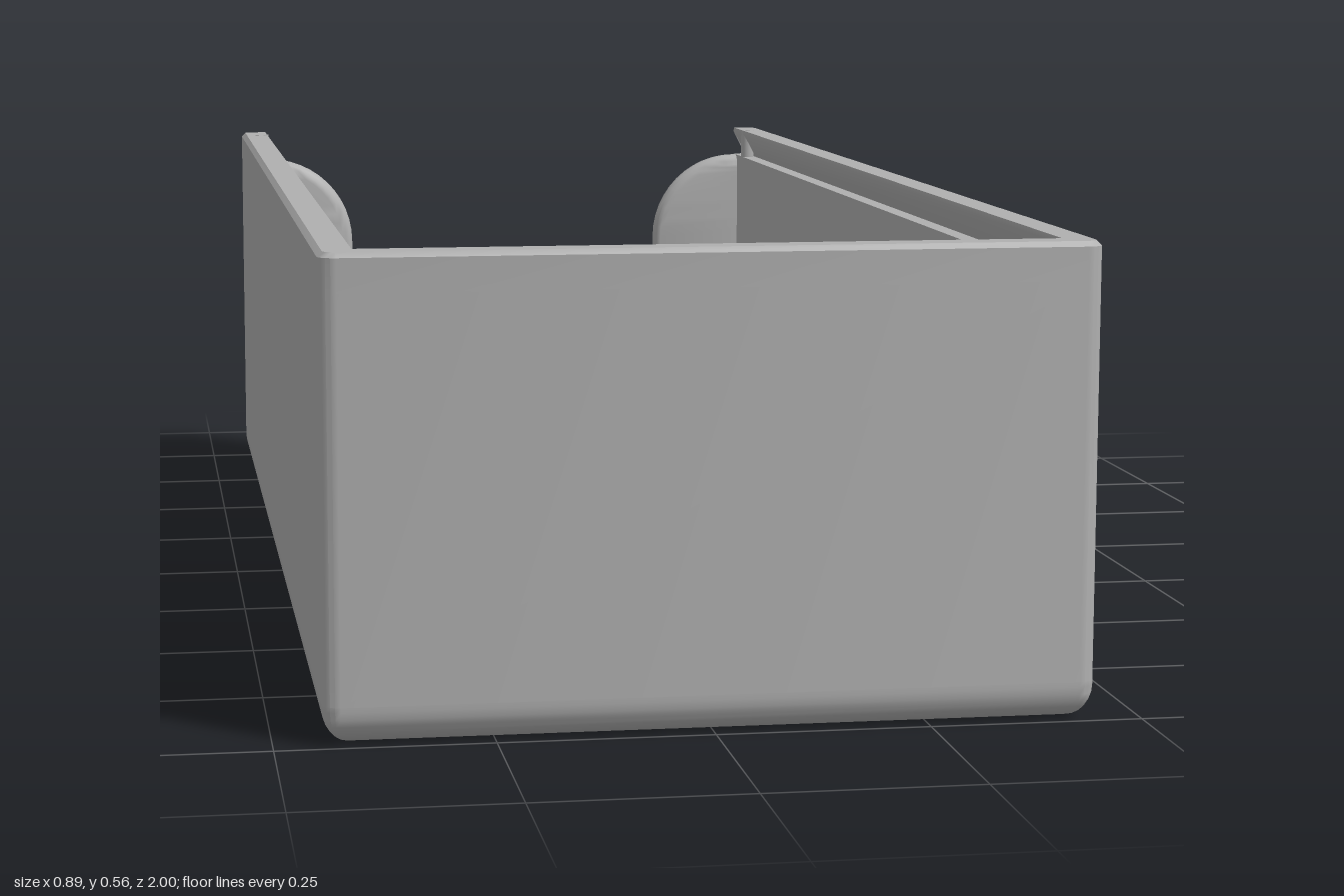
import * as THREE from 'three';
import { toCreasedNormals } from 'three/addons/utils/BufferGeometryUtils.js';

const W = 0.445, L = 1, H = 0.555;      // half width, half length, height
const WALL = 0.04, FLOOR = 0.035, SEAT = 0.046, LEDGE = 0.51, EDGE = 0.04;

// Skin a grid of points (rows of equal length), skipping collapsed triangles
function skin(rows) {
  const pos = [], ab = new THREE.Vector3(), ac = new THREE.Vector3();
  const tri = (a, b, c) => {
    ab.subVectors(b, a); ac.subVectors(c, a);
    if (ab.cross(ac).length() < 1e-9) return;
    for (const p of [a, b, c]) pos.push(p.x, p.y, p.z);
  };
  for (let i = 0; i < rows.length - 1; i++) {
    for (let j = 0; j < rows[i].length - 1; j++) {
      const a = rows[i][j], b = rows[i][j + 1], c = rows[i + 1][j + 1], d = rows[i + 1][j];
      tri(a, d, b);
      tri(b, d, c);
    }
  }
  const g = new THREE.BufferGeometry();
  g.setAttribute('position', new THREE.Float32BufferAttribute(pos, 3));
  return toCreasedNormals(g, 0.6);
}

// Rounded outline running from the back, round the front and back again
function outline(y, inset, r, endX, backInset = inset) {
  const x = W - inset, zf = L - inset, zb = -L + backInset, pts = [];
  const corner = (cx, cz, start) => {
    for (let k = 0; k <= 5; k++) {
      const a = start + (k / 5) * Math.PI / 2;
      pts.push(new THREE.Vector3(cx + r * Math.cos(a), y, cz + r * Math.sin(a)));
    }
  };
  pts.push(new THREE.Vector3(endX, y, zb));
  corner(x - r, zb + r, -Math.PI / 2);
  corner(x - r, zf - r, 0);
  corner(-x + r, zf - r, Math.PI / 2);
  corner(-x + r, zb + r, Math.PI);
  pts.push(new THREE.Vector3(-endX, y, zb));
  return pts;
}

// Bottom tray with a rounded lower edge and a recessed floor
function trayGeometry() {
  const rows = [outline(0, W, 0, 0)];
  for (let k = 0; k <= 7; k++) {
    const a = (k / 7) * Math.PI / 2, inset = EDGE * (1 - Math.sin(a));
    rows.push(outline(EDGE * (1 - Math.cos(a)), inset, Math.max(0.02 - inset, 0), 0));
  }
  rows.push(outline(SEAT, 0, 0.02, 0));
  rows.push(outline(SEAT, WALL, 0, 0), outline(FLOOR, WALL, 0, 0), outline(FLOOR, W, 0, 0));
  return skin(rows);
}

// Two sides and front, with an undercut groove for a sliding lid
function wallGeometry() {
  const inX = W - WALL, groove = 0.018;
  return skin([
    outline(SEAT, 0, 0.02, inX),
    outline(LEDGE, 0, 0.02, inX),
    outline(LEDGE, 0, 0.02, W - groove),
    outline(H - 0.006, 0, 0.02, inX),
    outline(H, 0.006, 0.014, inX),
    outline(H, WALL, 0, inX, 0.006),
    outline(H - 0.006, WALL, 0, inX, 0),
    outline(LEDGE, groove, 0, W - groove, 0),
    outline(LEDGE, WALL, 0, inX, 0),
    outline(SEAT, WALL, 0, inX, 0),
  ]);
}

// Back wall with an S-sided cutout whose edge is rounded over
function backWallGeometry() {
  const top = 0.14, low = 0.15, r = 0.0175, thick = 0.035, half = [];
  half.push([0.427, LEDGE, 0, 1]);
  for (let k = 0; k <= 12; k++) {
    const a = (k / 12) * Math.PI / 2, s = Math.sin(a), c = Math.cos(a);
    half.push([0.4 - top * s, LEDGE - top + top * c, -s, c]);
  }
  for (let k = 0; k <= 12; k++) {
    const a = (k / 12) * Math.PI / 2, s = Math.sin(a), c = Math.cos(a);
    half.push([0.11 + low * c, SEAT + low - low * s, -c, s]);
  }
  const mirrored = half.map(([x, y, nx, ny]) => [-x, y, -nx, ny]).reverse();
  const rows = [...half, ...mirrored].map(([x, y, nx, ny]) => {
    const far = Math.sign(x) * 0.427, y0 = y - ny * r, row = [];
    row.push(new THREE.Vector3(far, y0, -L));
    for (let k = 0; k <= 8; k++) {
      const a = (k / 8) * Math.PI, d = r * (Math.sin(a) - 1);
      row.push(new THREE.Vector3(x + nx * d, y + ny * d, -L + thick / 2 - r * Math.cos(a)));
    }
    row.push(new THREE.Vector3(far, y0, -L + thick));
    return row;
  });
  return skin(rows);
}

export function createModel() {
  const group = new THREE.Group();
  const grey = new THREE.MeshStandardMaterial({ color: 0xb0b0b0 });
  grey.name = 'grey plastic';
  const add = (name, geometry) => {
    const mesh = new THREE.Mesh(geometry, grey);
    mesh.name = name;
    group.add(mesh);
    return mesh;
  };

  add('tray', trayGeometry());
  add('walls', wallGeometry());
  add('backWall', backWallGeometry());

  // Small catches for the lid near the open end of each groove
  for (const s of [1, -1]) {
    const catchPin = add(s > 0 ? 'leftCatch' : 'rightCatch',
      new THREE.CylinderGeometry(0.011, 0.011, H - LEDGE + 0.001, 16));
    catchPin.position.set(s * 0.414, (H + LEDGE) / 2, -0.92);
  }
  return group;
}
